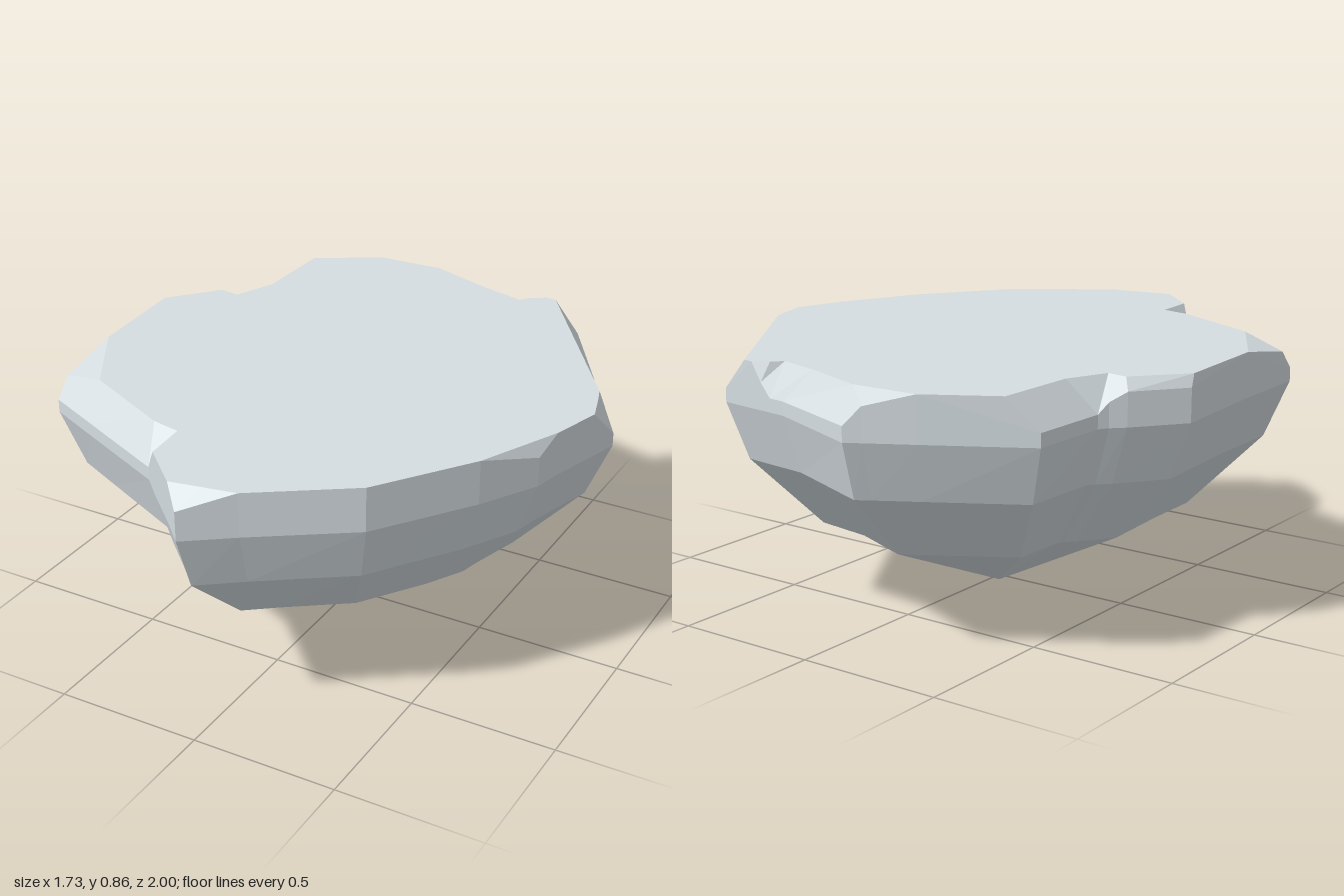
import * as THREE from 'three';

const TOP = 0.86;

// Rim, clockwise from the back tip: x, z, [height where the wall ends, chipped edge x, z, [edge height]]
const rim = [
  [-0.17, -1.0, 0.76, -0.13, -0.9],
  [0.19, -0.86, 0.755, 0.1, -0.82],
  [0.25, -0.853, 0.755, 0.25, -0.78],
  [0.29, -0.849, 0.8, 0.28, -0.815],
  [0.33, -0.845],
  [0.46, -0.83, 0.755, 0.365, -0.84],
  [0.845, -0.205, 0.755, 0.78, -0.24],
  [0.86, -0.18, 0.755, 0.8, -0.18],
  [0.83, -0.08],
  [0.78, 0.09],
  [0.76, 0.18, 0.81],
  [0.65, 0.37],
  [0.43, 0.68],
  [0.12, 0.89],
  [-0.03, 1.0, 0.81],
  [-0.1, 0.93],
  [-0.24, 0.8],
  [-0.275, 0.765, 0.81, -0.25, 0.65],
  [-0.31, 0.73, 0.755, -0.35, 0.63],
  [-0.65, 0.575, 0.755, -0.67, 0.475],
  [-0.835, 0.49, 0.755, -0.835, 0.43, 0.82],
  [-0.84, 0.19],
  [-0.865, -0.2, 0.82, -0.86, -0.18],
  [-0.74, -0.36, 0.82, -0.72, -0.34],
  [-0.7, -0.4, 0.79, -0.65, -0.33],
  [-0.68, -0.43, 0.755, -0.59, -0.47],
  [-0.67, -0.71, 0.755, -0.58, -0.76],
  [-0.36, -0.89],
  [-0.22, -0.97, 0.82],
];

const apex = new THREE.Vector3(-0.03, 0, -0.04);

// Rim outline shrunk towards the bottom point
const scaledRing = (y, sx, sz) => rim.map(([x, z]) =>
  new THREE.Vector3(apex.x + (x - apex.x) * sx, y, apex.z + (z - apex.z) * sz));

// Flat-shaded surface from a list of triangles, without empty ones
function facets(triangles) {
  const points = triangles
    .filter((t) => new THREE.Triangle(...t).getArea() > 1e-6)
    .flat();
  const geometry = new THREE.BufferGeometry().setFromPoints(points);
  geometry.computeVertexNormals();
  return geometry;
}

// Bands between consecutive rings, lowest first
function bands(rings) {
  const triangles = [];
  for (let r = 0; r + 1 < rings.length; r++) {
    const low = rings[r], high = rings[r + 1];
    low.forEach((a, i) => {
      const j = (i + 1) % low.length;
      triangles.push([low[j], a, high[i]], [low[j], high[i], high[j]]);
    });
  }
  return triangles;
}

export function createModel() {
  const group = new THREE.Group();
  group.name = 'floatingRock';
  const stone = new THREE.MeshStandardMaterial({ color: 0xd5dde1 });
  stone.name = 'pale grey stone';

  const add = (name, triangles) => {
    const mesh = new THREE.Mesh(facets(triangles), stone);
    mesh.name = name;
    group.add(mesh);
  };

  // Upright wall end, chipped edge, and flat top outline
  const wall = rim.map(([x, z, y = TOP]) => new THREE.Vector3(x, y, z));
  const edge = rim.map(([x, z, y = TOP, tx, tz, ty = TOP]) =>
    tx === undefined ? new THREE.Vector3(x, y, z) : new THREE.Vector3(tx, ty, tz));
  const n = edge.length;
  const cap = edge.map((p, i) => p.y < TOP
    ? edge[(i + n - 1) % n].clone().lerp(edge[(i + 1) % n], 0.5)
    : p);

  // Tapering underside
  const belly = [
    scaledRing(0.28, 0.65, 0.68),
    scaledRing(0.52, 0.91, 0.935),
    scaledRing(0.71, 1, 1),
  ];
  const point = belly[0].map((a, i) => [apex, a, belly[0][(i + 1) % n]]);
  add('underside', [...point, ...bands(belly)]);

  // Upright rim with chipped corners
  add('rim', bands([belly[2], wall, edge, cap]));

  // Flat top
  const centre = new THREE.Vector3(0, TOP, 0);
  add('topSurface', cap.map((a, i) => [centre, cap[(i + 1) % n], a]));

  return group;
}
